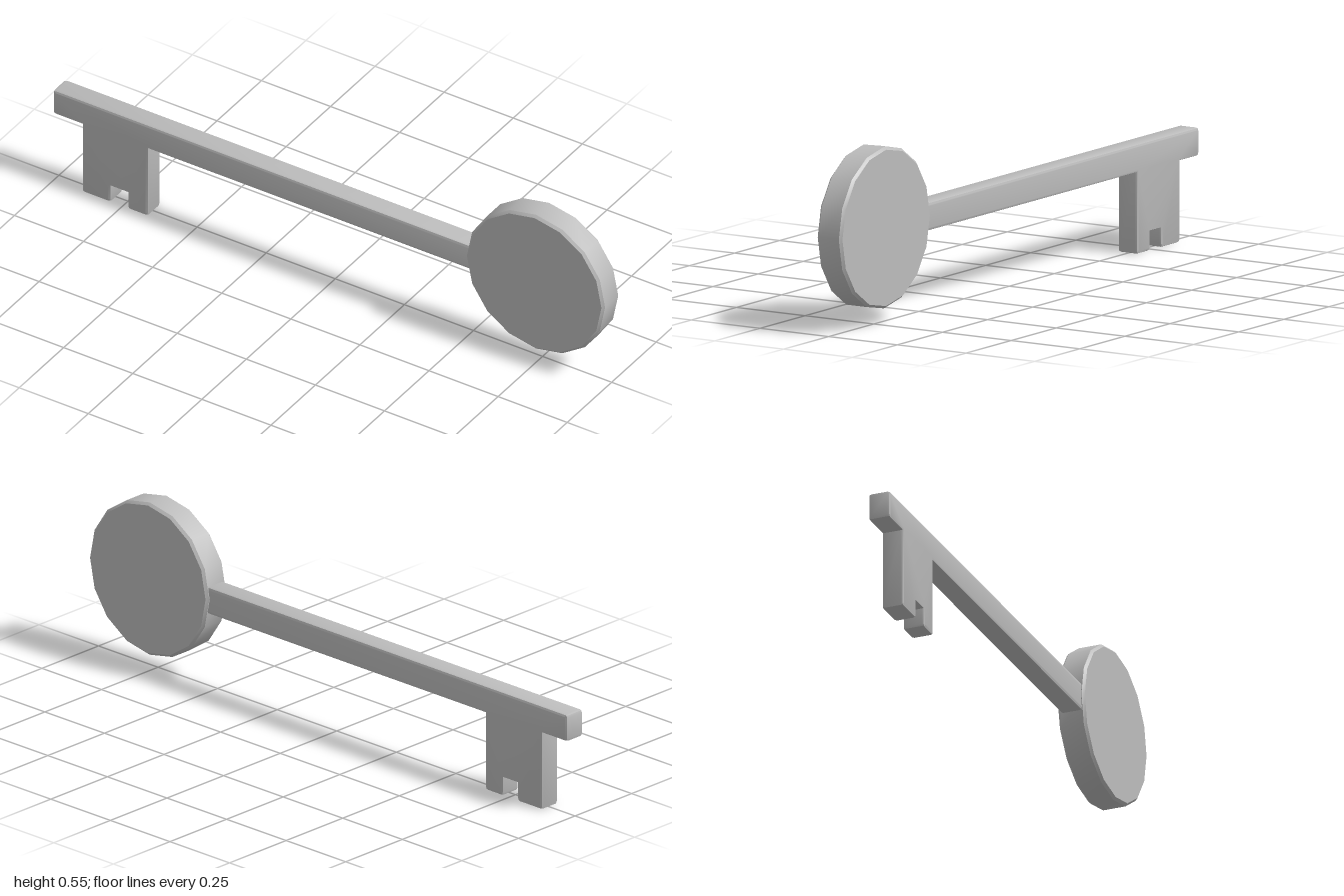
import * as THREE from 'three';
import { toCreasedNormals } from 'three/addons/utils/BufferGeometryUtils.js';

const BEVEL = 0.008;

// Outline whose convex corners are rounded by a small radius
function roundedOutline(points, radius) {
  const shape = new THREE.Shape();
  const v = points.map(([x, y]) => new THREE.Vector2(x, y));
  v.forEach((corner, i) => {
    const before = v[(i + v.length - 1) % v.length].clone().sub(corner).normalize();
    const after = v[(i + 1) % v.length].clone().sub(corner).normalize();
    if (before.cross(after) > 0) { // concave corner stays sharp
      shape[i ? 'lineTo' : 'moveTo'](corner.x, corner.y);
      return;
    }
    const a = corner.clone().addScaledVector(before, radius);
    const b = corner.clone().addScaledVector(after, radius);
    shape[i ? 'lineTo' : 'moveTo'](a.x, a.y);
    shape.quadraticCurveTo(corner.x, corner.y, b.x, b.y);
  });
  shape.closePath();
  return shape;
}

export function createModel() {
  const key = new THREE.Group();
  key.name = 'key';
  const metal = new THREE.MeshStandardMaterial({ color: 0xbcbcbc });
  metal.name = 'grey metal';

  // Shaft and notched bit, cut as one plate (counter-clockwise outline)
  const outline = roundedOutline([
    [-1, 0.252], [-0.895, 0.252], [-0.895, 0], [-0.79, 0], [-0.79, 0.06], [-0.73, 0.06],
    [-0.73, 0], [-0.655, 0], [-0.655, 0.252], [0.6, 0.252], [0.6, 0.34], [-1, 0.34],
  ], 0.01);
  const depth = 0.07 - 2 * BEVEL;
  const plate = new THREE.ExtrudeGeometry(outline, {
    depth, curveSegments: 2, bevelEnabled: true, bevelSegments: 2,
    bevelSize: BEVEL, bevelOffset: -BEVEL, bevelThickness: BEVEL,
  });
  plate.translate(0, 0, -depth / 2);
  const shaft = new THREE.Mesh(toCreasedNormals(plate, 0.55), metal);
  shaft.name = 'shaftAndBit';
  key.add(shaft);

  // Sixteen-sided disc handle with bevelled rims
  const r = 0.25, h = 0.045;
  const profile = [[0, -h], [r - BEVEL, -h], [r, -h + BEVEL], [r, h - BEVEL], [r - BEVEL, h], [0, h]]
    .map(([x, y]) => new THREE.Vector2(x, y));
  const disc = new THREE.LatheGeometry(profile, 16);
  disc.rotateX(Math.PI / 2);
  const handle = new THREE.Mesh(toCreasedNormals(disc, 0.55), metal);
  handle.name = 'handle';
  handle.position.set(0.75, 0.302, 0);
  key.add(handle);

  return key;
}
